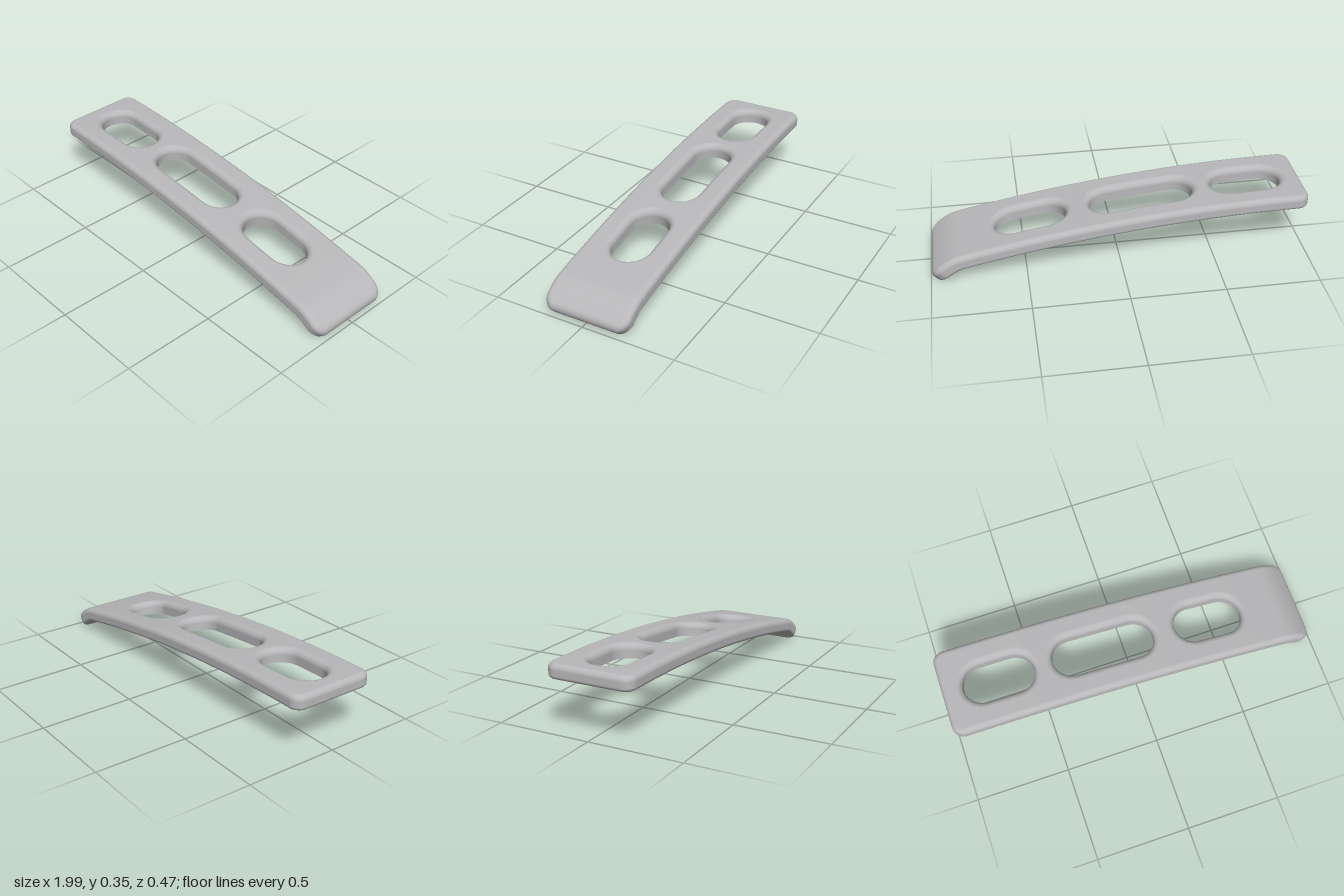
import * as THREE from 'three';

const HALF = 0.039; // half the plate thickness
const PLATE = { x0: -1, x1: 1, w: 0.235, r: 0.06 };
const SLOTS = [[-0.89, -0.51], [-0.41, 0.145], [0.27, 0.65]]
  .map(([x0, x1]) => ({ x0, x1, w: 0.105, r: 0.105 }));
const RIM_TOP = 0.03, RIM_BOTTOM = 0.02, SLOT_TOP = 0.035;

const grow = (s, d) => ({ x0: s.x0 - d, x1: s.x1 + d, w: s.w + d, r: s.r + d });

// Rounded-rectangle loop with outward normals (side = -1 for openings)
function outline(s, side) {
  const pts = [], N = 10;
  const corners = [[1, 1], [-1, 1], [-1, -1], [1, -1]];
  corners.forEach(([sx, sz], k) => {
    const cx = sx > 0 ? s.x1 - s.r : s.x0 + s.r;
    for (let i = 0; i <= N; i++) {
      const a = (k + i / N) * Math.PI / 2;
      const nx = Math.cos(a), nz = Math.sin(a);
      pts.push({ x: cx + s.r * nx, z: sz * (s.w - s.r) + s.r * nz, nx: nx * side, nz: nz * side });
    }
    // long straight sides get extra points so they can bend
    if (k % 2 === 0) {
      const length = s.x1 - s.x0 - 2 * s.r, steps = Math.ceil(length / 0.02);
      for (let i = 1; i < steps; i++) {
        pts.push({ x: cx - sx * length * i / steps, z: sz * s.w, nx: 0, nz: sz * side });
      }
    }
  });
  pts.push(pts[0]);
  return pts;
}

// Half width of a rounded rectangle at x
function widthAt(s, x) {
  const e = Math.min(x - s.x0, s.x1 - x);
  if (e < -1e-6) return 0;
  if (e >= s.r) return s.w;
  return s.w - s.r + Math.sqrt(Math.max(0, s.r ** 2 - (s.r - e) ** 2));
}

// Edge profile: d = inset, h = height, (out, up) = normal
function edgeProfile(bottom, top) {
  const p = [], N = 6;
  const arc = (r, sign, a) => p.push({
    d: r * (1 - Math.cos(a)), h: sign * (HALF - r + r * Math.sin(a)),
    out: Math.cos(a), up: sign * Math.sin(a),
  });
  if (bottom > 0) for (let i = N; i >= 0; i--) arc(bottom, -1, i / N * Math.PI / 2);
  else p.push({ d: 0, h: -HALF, out: 1, up: 0 });
  for (let i = 0; i <= N; i++) arc(top, 1, i / N * Math.PI / 2);
  return p;
}

// Centreline: shallow parabola, then a hooked lip
const lip = new THREE.QuadraticBezierCurve(
  new THREE.Vector2(0.83, 0.1168), new THREE.Vector2(0.898, 0.103), new THREE.Vector2(0.98, 0.019));
function frameAt(u) {
  let c, t;
  if (u < 0.83) {
    c = new THREE.Vector2(u, 0.311 - 0.058 * (u + 1) ** 2);
    t = new THREE.Vector2(1, -0.116 * (u + 1)).normalize();
  } else {
    const k = Math.min(1, (u - 0.83) / 0.17);
    c = lip.getPoint(k);
    t = lip.getTangent(k);
  }
  const n = new THREE.Vector2(-t.y, t.x);
  // slots are cut vertically; the lip is offset square to its curve
  const up = new THREE.Vector2(0, 1).lerp(n, THREE.MathUtils.smoothstep(u, 0.7, 0.83)).normalize();
  return { c, t, n, up };
}

function bend(v) {
  const f = frameAt(v.p.x);
  return {
    p: new THREE.Vector3(f.c.x + f.up.x * v.p.y, f.c.y + f.up.y * v.p.y, v.p.z),
    n: new THREE.Vector3(f.t.x * v.n.x + f.n.x * v.n.y, f.t.y * v.n.x + f.n.y * v.n.y, v.n.z).normalize(),
  };
}

const vert = (x, y, z, nx, ny, nz) =>
  bend({ p: new THREE.Vector3(x, y, z), n: new THREE.Vector3(nx, ny, nz) });

function createPlateGeometry() {
  const positions = [], normals = [];
  const e1 = new THREE.Vector3(), e2 = new THREE.Vector3();
  const tri = (a, b, c) => {
    e1.subVectors(b.p, a.p).cross(e2.subVectors(c.p, a.p));
    if (e1.length() < 1e-10) return;
    const facing = e1.dot(a.n) + e1.dot(b.n) + e1.dot(c.n);
    for (const v of facing > 0 ? [a, b, c] : [a, c, b]) {
      positions.push(...v.p.toArray());
      normals.push(...v.n.toArray());
    }
  };
  const quad = (a, b, c, d) => { tri(a, b, c); tri(a, c, d); };

  // Rounded walls swept round an outline
  const sweep = (loop, profile) => {
    const rows = loop.map(o => profile.map(q =>
      vert(o.x - o.nx * q.d, q.h, o.z - o.nz * q.d, o.nx * q.out, q.up, o.nz * q.out)));
    for (let i = 0; i < rows.length - 1; i++) {
      for (let j = 0; j < profile.length - 1; j++) {
        quad(rows[i][j], rows[i + 1][j], rows[i + 1][j + 1], rows[i][j + 1]);
      }
    }
  };

  // Broad face, in mirrored strips from slot edge to outer edge
  const face = (sign, rim, slotRim) => {
    const outer = grow(PLATE, -rim), holes = SLOTS.map(s => grow(s, slotRim));
    const xs = [outer, ...holes].flatMap(s => outline(s, 1).map(o => o.x)).sort((a, b) => a - b)
      .filter((x, i, all) => i === 0 || x - all[i - 1] > 1e-5);
    for (const side of [1, -1]) {
      const rows = xs.map(x => {
        const zi = Math.max(...holes.map(s => widthAt(s, x))), zo = widthAt(outer, x);
        return [zi, zo].map(z => vert(x, sign * HALF, side * z, 0, sign, 0));
      });
      for (let i = 0; i < rows.length - 1; i++) {
        quad(rows[i][0], rows[i + 1][0], rows[i + 1][1], rows[i][1]);
      }
    }
  };

  face(1, RIM_TOP, SLOT_TOP);
  face(-1, RIM_BOTTOM, 0);
  sweep(outline(PLATE, 1), edgeProfile(RIM_BOTTOM, RIM_TOP));
  for (const s of SLOTS) sweep(outline(s, -1), edgeProfile(0, SLOT_TOP));

  const g = new THREE.BufferGeometry();
  g.setAttribute('position', new THREE.Float32BufferAttribute(positions, 3));
  g.setAttribute('normal', new THREE.Float32BufferAttribute(normals, 3));
  return g;
}

export function createModel() {
  const group = new THREE.Group();
  group.name = 'slottedCurvedPlate';
  const material = new THREE.MeshStandardMaterial({ color: 0xb8b8ba });
  material.name = 'light grey';
  const plate = new THREE.Mesh(createPlateGeometry(), material);
  plate.name = 'slottedPlate';
  group.add(plate);
  return group;
}
